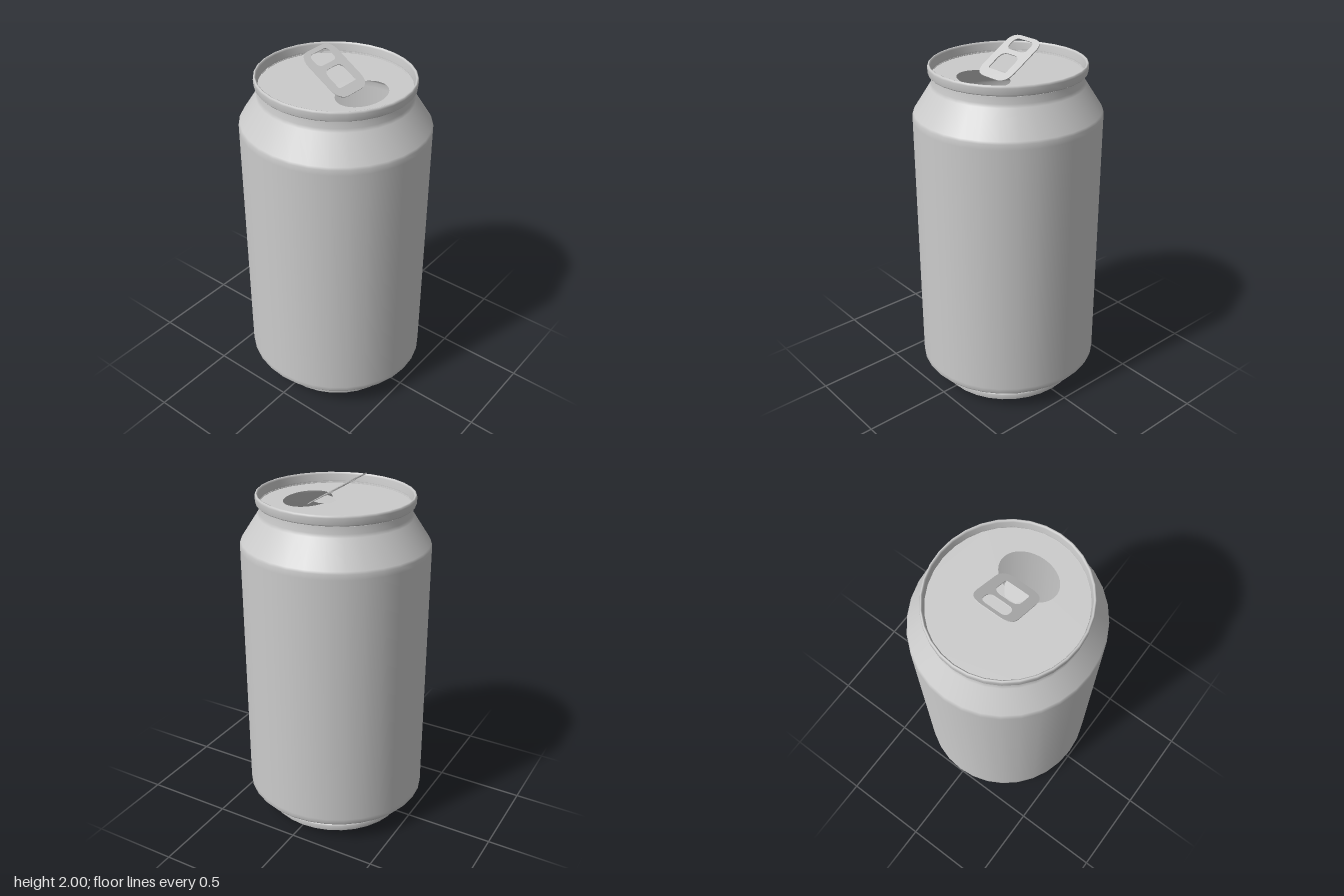
import * as THREE from 'three';

const SIDES = 32;
const DEPTH = 1.035; // the can is slightly deeper than wide
const TILT = THREE.MathUtils.degToRad(32);

const material = new THREE.MeshStandardMaterial({ color: 0xcccccc, side: THREE.DoubleSide });

function addMesh(group, name, geometry) {
  const mesh = new THREE.Mesh(geometry, material);
  mesh.name = name;
  group.add(mesh);
  return mesh;
}

// Revolves [radius, height] pairs, listed upwards along the outside
function revolve(points) {
  const geometry = new THREE.LatheGeometry(points.map(([r, y]) => new THREE.Vector2(r, y)), SIDES);
  return geometry.scale(1, 1, DEPTH);
}

// Rounded rectangle with its own radius for the top and bottom corners
function roundedRect(path, w, y0, y1, rBottom, rTop) {
  path.moveTo(-w + rBottom, y0);
  path.lineTo(w - rBottom, y0);
  path.quadraticCurveTo(w, y0, w, y0 + rBottom);
  path.lineTo(w, y1 - rTop);
  path.quadraticCurveTo(w, y1, w - rTop, y1);
  path.lineTo(-w + rTop, y1);
  path.quadraticCurveTo(-w, y1, -w, y1 - rTop);
  path.lineTo(-w, y0 + rBottom);
  path.quadraticCurveTo(-w, y0, -w + rBottom, y0);
  return path;
}

export function createModel() {
  const can = new THREE.Group();
  can.name = 'drinkCan';

  // Wall with tapered foot and shoulder
  addMesh(can, 'body', revolve([
    [0.385, 0.04], [0.4, 0.055], [0.49, 0.122], [0.5, 0.135], [0.5, 0.16],
    [0.5, 1.6], [0.5, 1.63], [0.493, 1.643], [0.405, 1.782], [0.397, 1.8], [0.394, 1.85],
  ]));

  // Foot ring and recessed floor
  addMesh(can, 'footRing', revolve([
    [0.37, 0.035], [0.372, 0.008], [0.379, 0], [0.389, 0], [0.395, 0.006],
    [0.395, 0.034], [0.391, 0.043], [0.38, 0.047],
  ]));
  const floor = new THREE.CircleGeometry(0.373, SIDES).rotateX(Math.PI / 2).scale(1, 1, DEPTH);
  addMesh(can, 'floor', floor).position.y = 0.03;

  // Rolled rim running down inside to the lid
  addMesh(can, 'rim', revolve([
    [0.39, 1.843], [0.406, 1.843], [0.412, 1.85], [0.414, 1.884], [0.412, 1.893],
    [0.407, 1.897], [0.402, 1.895], [0.398, 1.886], [0.393, 1.838],
  ]));

  // Lid with the oval mouth cut out
  const lid = new THREE.Shape().absellipse(0, 0, 0.395, 0.395 * DEPTH, 0, Math.PI * 2);
  lid.holes.push(new THREE.Path().absellipse(0, -0.17, 0.163, 0.12, 0, Math.PI * 2));
  addMesh(can, 'lid', new THREE.ShapeGeometry(lid, 24).rotateX(-Math.PI / 2)).position.y = 1.838;

  // Raised pull tab with finger hole and rivet hole
  const tab = roundedRect(new THREE.Shape(), 0.122, -0.156, 0.156, 0.075, 0.07);
  tab.holes.push(roundedRect(new THREE.Path(), 0.073, 0.05, 0.132, 0.035, 0.035));
  tab.holes.push(roundedRect(new THREE.Path(), 0.07, -0.1, 0.02, 0.012, 0.045));
  const tabGeometry = new THREE.ExtrudeGeometry(tab, { depth: 0.005, bevelEnabled: false, curveSegments: 8 });
  const tabMesh = addMesh(can, 'pullTab', tabGeometry);
  tabMesh.rotation.x = TILT - Math.PI / 2;
  tabMesh.position.set(0, 1.913, -0.0075);

  // Tongue folded back from the tab to the lid
  const tongue = new THREE.Shape([
    [-0.07, -0.1], [0.07, -0.1], [0.07, -0.065], [0.03, -0.015], [-0.03, -0.015], [-0.07, -0.065],
  ].map(([x, y]) => new THREE.Vector2(x, y)));
  const tongueGeometry = new THREE.ShapeGeometry(tongue).rotateX(-Math.PI / 2);
  const position = tongueGeometry.attributes.position;
  for (let i = 0; i < position.count; i++) position.setY(i, 1.841 + 0.12 * (position.getZ(i) - 0.015));
  tongueGeometry.computeVertexNormals();
  addMesh(can, 'tabTongue', tongueGeometry);

  return can;
}
